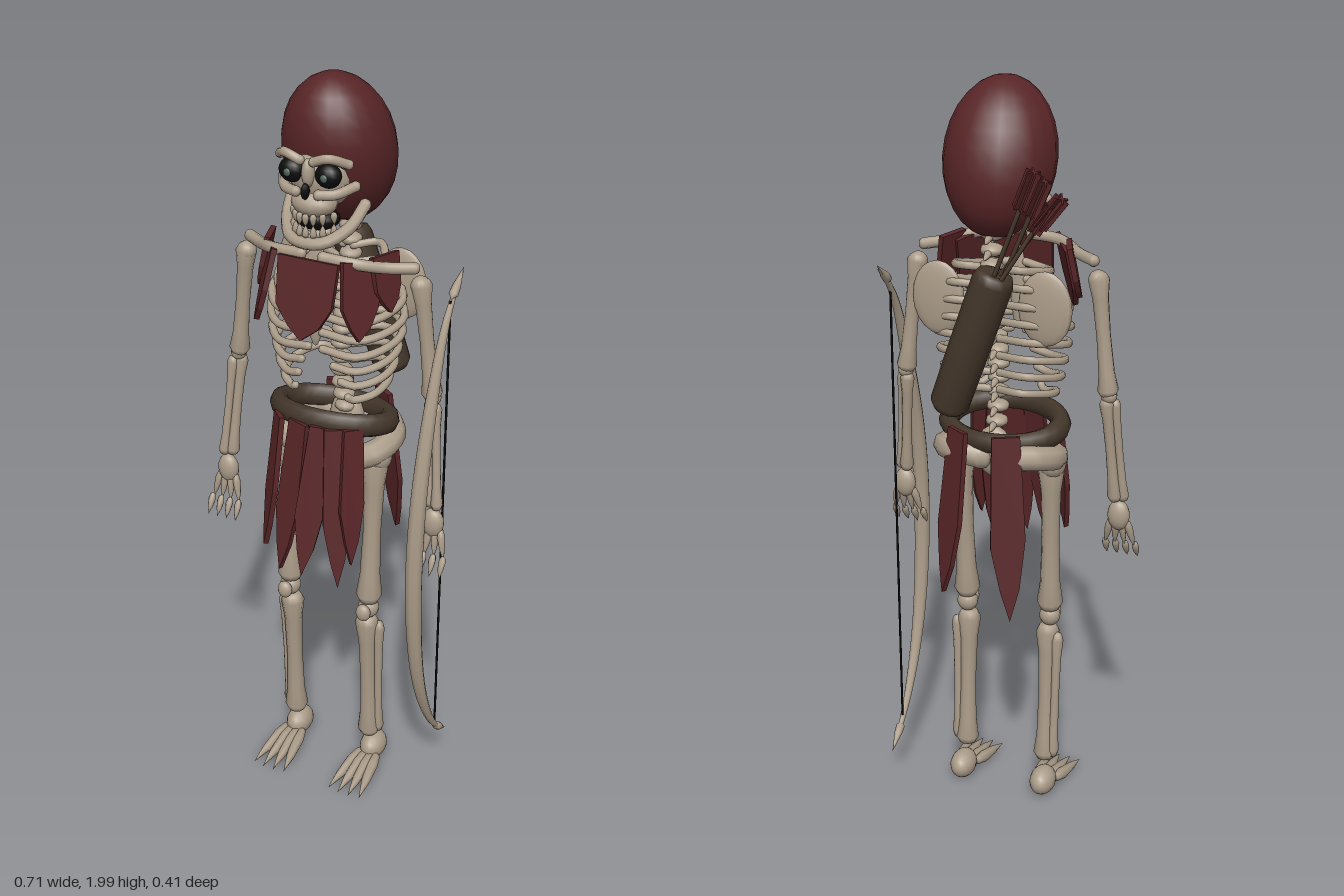
import * as THREE from 'three';

const material = (name, color, side = THREE.FrontSide) => {
  const m = new THREE.MeshStandardMaterial({ color, side });
  m.name = name;
  return m;
};
const V = (x, y, z) => new THREE.Vector3(x, y, z);
const UP = V(0, 1, 0);

export function createModel() {
  const root = new THREE.Group();
  root.name = 'skeletonArcher';
  const boneMat = material('bone', 0xab9c89);
  const cloth = material('darkRedCloth', 0x582527, THREE.DoubleSide);
  const leather = material('brownLeather', 0x43362a);
  const wood = material('arrowWood', 0x4c3d2f);
  const black = material('black', 0x0c0c0d);
  const glow = material('eyeGlow', 0x50645c);

  const add = (name, geo, mat) => {
    const m = new THREE.Mesh(geo, mat);
    m.name = name;
    root.add(m);
    return m;
  };
  const ball = (name, c, rx, ry, rz, mat = boneMat, seg = 14) => {
    const m = add(name, new THREE.SphereGeometry(1, seg, 10), mat);
    m.scale.set(rx, ry, rz);
    m.position.copy(c);
    return m;
  };
  // Lathed limb from a to b; profile holds [fraction along, radius] pairs
  const spindle = (name, a, b, profile, mat = boneMat, seg = 10) => {
    const len = a.distanceTo(b);
    const pts = profile.map(([t, r]) => new THREE.Vector2(r, t * len));
    const m = add(name, new THREE.LatheGeometry(pts, seg), mat);
    m.position.copy(a);
    m.quaternion.setFromUnitVectors(UP, b.clone().sub(a).normalize());
    return m;
  };
  const longBone = (name, a, b, r) => spindle(name, a, b,
    [[0, 0], [0.015, r * 0.75], [0.06, r * 1.05], [0.2, r * 0.8], [0.5, r * 0.7], [0.8, r * 0.8], [0.94, r * 1.05], [0.985, r * 0.75], [1, 0]]);
  const claw = (name, a, b, r) => spindle(name, a, b, [[0, 0], [0.08, r * 0.7], [0.3, r], [0.65, r * 0.7], [1, 0]], boneMat, 7);
  const tube = (name, pts, r, mat = boneMat, seg = 20) => {
    const m = add(name, new THREE.TubeGeometry(new THREE.CatmullRomCurve3(pts), seg, r, 8), mat);
    [pts[0], pts[pts.length - 1]].forEach(p => ball(name + 'End', p, r, r, r, mat, 8));
    return m;
  };
  // Pointed cloth strip hanging from top to tip, facing outwards
  const strip = (name, top, tip, w, out, topScale = 0.8) => {
    const len = top.distanceTo(tip);
    const s = new THREE.Shape();
    s.moveTo(-w * topScale / 2, 0);
    s.lineTo(-w / 2, -len * 0.6);
    s.lineTo(-w * 0.25, -len * 0.84);
    s.lineTo(0, -len);
    s.lineTo(w * 0.3, -len * 0.82);
    s.lineTo(w / 2, -len * 0.55);
    s.lineTo(w * topScale / 2, 0);
    const g = new THREE.ExtrudeGeometry(s, { depth: 0.014, bevelEnabled: false });
    g.translate(0, 0, -0.007);
    const y = top.clone().sub(tip).normalize();
    const x = y.clone().cross(out).normalize();
    const m = add(name, g, cloth);
    m.quaternion.setFromRotationMatrix(new THREE.Matrix4().makeBasis(x, y, x.clone().cross(y)));
    m.position.copy(top);
  };

  // Hood, leaning back towards the nape
  const hood = new THREE.SphereGeometry(1, 20, 14);
  hood.scale(0.14, 0.19, 0.14);
  const hp = hood.attributes.position;
  for (let i = 0; i < hp.count; i++) hp.setZ(i, hp.getZ(i) + hp.getY(i) * 0.18);
  hood.computeVertexNormals();
  add('hood', hood, cloth).position.set(0, 1.81, -0.025);

  // Face
  ball('skull', V(0, 1.775, 0.055), 0.085, 0.085, 0.083);
  ball('upperJaw', V(0, 1.715, 0.105), 0.058, 0.035, 0.048);
  ball('nose', V(0, 1.755, 0.15), 0.01, 0.02, 0.014, black, 8);
  ball('noseBridge', V(0, 1.795, 0.135), 0.016, 0.035, 0.018);
  tube('jaw', [V(-0.098, 1.7, 0.035), V(-0.085, 1.66, 0.085), V(-0.045, 1.632, 0.14), V(0, 1.627, 0.152),
    V(0.045, 1.632, 0.14), V(0.085, 1.66, 0.085), V(0.098, 1.7, 0.035)], 0.015);
  ball('mouth', V(0, 1.675, 0.095), 0.06, 0.03, 0.045, black);
  for (let i = -3; i <= 3; i++) {
    const z = 0.15 - i * i * 0.0045;
    claw('upperTooth', V(i * 0.018, 1.7, z), V(i * 0.018, 1.668, z), 0.009);
    claw('lowerTooth', V(i * 0.018, 1.64, z), V(i * 0.018, 1.673, z), 0.009);
  }

  // Neck, spine and breastbone
  for (let i = 0; i < 15; i++) {
    const y = 1.1 + i * 0.038;
    const z = -0.06 + 0.025 * Math.sin(i * 0.4);
    ball('vertebra', V(0, y, z), 0.03, 0.017, 0.028, boneMat, 10);
    claw('vertebraSpur', V(0, y, z - 0.015), V(0, y - 0.015, z - 0.055), 0.01);
  }
  ball('breastbone', V(0, 1.45, 0.105), 0.022, 0.11, 0.014);
  ball('sacrum', V(0, 1.06, -0.07), 0.05, 0.07, 0.03);

  const ribWidths = [0.12, 0.155, 0.175, 0.18, 0.175, 0.165, 0.155, 0.14];
  for (const s of [-1, 1]) {
    // Eye sockets, brow and cheek
    ball('eyeSocket', V(s * 0.048, 1.793, 0.125), 0.033, 0.03, 0.026, black);
    ball('eyeGlow', V(s * 0.048, 1.793, 0.148), 0.01, 0.01, 0.006, glow, 8);
    tube('brow', [V(s * 0.018, 1.826, 0.142), V(s * 0.055, 1.838, 0.14), V(s * 0.09, 1.82, 0.105)], 0.012);
    tube('cheekbone', [V(s * 0.03, 1.748, 0.142), V(s * 0.065, 1.75, 0.128), V(s * 0.095, 1.76, 0.08)], 0.013);

    // Ribs
    ribWidths.forEach((w, i) => {
      const y = 1.545 - i * 0.045;
      const end = i < 5 ? 0.02 : 0.03 + (i - 4) * 0.015;
      const f = 0.105 - Math.max(0, i - 4) * 0.01;
      tube('rib', [V(s * 0.015, y, -0.07), V(s * w * 0.6, y + 0.008, -0.1), V(s * w * 0.97, y - 0.008, -0.035),
        V(s * w * 0.92, y - 0.025, 0.035), V(s * w * 0.6, y - 0.038, f * 0.9), V(s * end, y - 0.03, f)], 0.0105);
    });

    // Shoulder
    tube('collarbone', [V(s * 0.03, 1.585, 0.12), V(s * 0.11, 1.58, 0.11), V(s * 0.17, 1.565, 0.065), V(s * 0.225, 1.56, 0.025)], 0.015);
    ball('shoulderBlade', V(s * 0.14, 1.46, -0.088), 0.07, 0.095, 0.016);

    // Arm
    ball('shoulderJoint', V(s * 0.24, 1.515, 0.018), 0.025, 0.025, 0.025);
    longBone('upperArm', V(s * 0.24, 1.535, 0.018), V(s * 0.277, 1.215, 0.01), 0.026);
    ball('elbow', V(s * 0.278, 1.22, 0.01), 0.021, 0.021, 0.021);
    longBone('ulna', V(s * 0.272, 1.215, 0.005), V(s * 0.294, 0.92, 0.035), 0.018);
    longBone('radius', V(s * 0.29, 1.21, 0.018), V(s * 0.314, 0.92, 0.045), 0.015);
    ball('palm', V(s * 0.303, 0.88, 0.042), 0.03, 0.042, 0.022);
    for (let i = 0; i < 4; i++) {
      const o = (i - 1.5) * 0.02;
      const mid = V(s * (0.303 + o * 1.35), 0.8, 0.06);
      claw('fingerBase', V(s * (0.303 + o * 0.7), 0.87, 0.042), mid.clone().add(V(0, -0.015, 0)), 0.011);
      claw('fingerTip', mid, V(s * (0.303 + o * 1.4), 0.745, 0.088), 0.01);
    }

    // Hip
    tube('hipBone', [V(s * 0.03, 1.05, -0.09), V(s * 0.1, 1.065, -0.1), V(s * 0.145, 1.05, -0.04),
      V(s * 0.125, 1.03, 0.03), V(s * 0.035, 1.0, 0.05)], 0.034);
    ball('hipJoint', V(s * 0.13, 1.015, 0.01), 0.037, 0.042, 0.037);

    // Leg
    longBone('thigh', V(s * 0.125, 1.02, 0.015), V(s * 0.12, 0.57, 0.035), 0.034);
    ball('knee', V(s * 0.12, 0.555, 0.035), 0.029, 0.03, 0.028);
    ball('kneecap', V(s * 0.12, 0.555, 0.068), 0.021, 0.025, 0.016);
    longBone('shin', V(s * 0.115, 0.53, 0.035), V(s * 0.117, 0.105, 0.015), 0.031);
    longBone('calfBone', V(s * 0.146, 0.51, 0.025), V(s * 0.141, 0.12, 0.01), 0.016);

    // Foot
    ball('heel', V(s * 0.12, 0.05, -0.008), 0.036, 0.04, 0.05);
    for (let i = 0; i < 4; i++) {
      const o = (i - 1.5) * 0.032;
      claw('toe', V(s * (0.12 + o * 0.5), 0.042, 0.015), V(s * (0.12 + o), 0.01, 0.19 - Math.abs(i - 1.5) * 0.006), 0.017);
    }
  }

  // Belt, tilted up at the front
  const belt = add('belt', new THREE.TorusGeometry(1, 0.18, 8, 28), leather);
  belt.rotation.x = Math.PI / 2 - 0.2;
  belt.scale.set(0.15, 0.108, 0.17);
  belt.position.set(0, 1.115, 0.005);

  // Skirt strips: [top x, top z, tip x, tip y, tip z, width]
  [[-0.1, 0.115, -0.12, 0.76, 0.165, 0.07], [-0.035, 0.13, -0.062, 0.715, 0.19, 0.075],
    [0.03, 0.13, 0.005, 0.72, 0.2, 0.075], [0.065, 0.125, 0.1, 0.7, 0.18, 0.07], [0.105, 0.105, 0.13, 0.77, 0.165, 0.065],
    [0.075, -0.13, 0.1, 0.69, -0.18, 0.09], [-0.055, -0.135, -0.085, 0.64, -0.185, 0.09]]
    .forEach(([x, z, tx, ty, tz, w]) =>
      strip('skirtStrip', V(x, 1.13, z), V(tx, ty, tz), w, V(x * 1.2, 0, z)));

  // Torn collar
  strip('collarFront', V(0, 1.58, 0.135), V(0, 1.385, 0.178), 0.15, V(0, 0, 1), 1.08);
  for (const s of [-1, 1]) {
    strip('collarSide', V(s * 0.12, 1.58, 0.095), V(s * 0.14, 1.4, 0.15), 0.1, V(s * 0.85, 0, 0.55), 1.1);
    strip('collarShoulder', V(s * 0.155, 1.59, 0.045), V(s * 0.18, 1.45, 0.06), 0.08, V(s, 0, 0.35), 1.1);
  }

  // Quiver and arrows
  const low = V(0.1, 1.18, -0.145), high = V(-0.035, 1.56, -0.145);
  spindle('quiver', low, high, [[0, 0], [0.02, 0.035], [0.07, 0.05], [0.5, 0.052], [0.93, 0.052], [0.98, 0.045], [0.99, 0.03], [0.97, 0]], leather, 14);
  [[-0.2, 1.75, -0.165], [-0.165, 1.79, -0.18], [-0.14, 1.81, -0.185], [-0.17, 1.73, -0.155]].forEach(([x, y, z], i) => {
    const base = V(-0.025 - (i % 2) * 0.02, 1.53, -0.13 - i * 0.012);
    const tip = V(x, y, z);
    spindle('arrowShaft', base, tip, [[0, 0], [0, 0.006], [1, 0.006], [1, 0]], wood, 6);
    const start = base.clone().lerp(tip, 0.7);
    for (let k = 0; k < 3; k++) {
      const f = add('fletching', new THREE.BoxGeometry(0.04, start.distanceTo(tip) * 1.1, 0.005), cloth);
      f.position.copy(start).lerp(tip, 0.55);
      f.quaternion.setFromUnitVectors(UP, tip.clone().sub(base).normalize());
      f.rotateY(k * Math.PI / 3);
    }
  });

  // Bow: tapered limb swept along a curve
  const bowCurve = new THREE.CatmullRomCurve3([V(0.298, 1.52, -0.1), V(0.298, 1.44, -0.02), V(0.298, 1.23, 0.065),
    V(0.298, 0.95, 0.128), V(0.298, 0.66, 0.135), V(0.298, 0.39, 0.085), V(0.298, 0.19, -0.015), V(0.298, 0.11, -0.1)]);
  const N = 36, R = 8;
  const bow = new THREE.TubeGeometry(bowCurve, N, 1, R);
  const bp = bow.attributes.position;
  for (let i = 0; i <= N; i++) {
    const c = bowCurve.getPointAt(i / N);
    const r = 0.002 + 0.021 * Math.pow(Math.sin(Math.PI * i / N), 0.75);
    for (let j = 0; j <= R; j++) {
      const k = i * (R + 1) + j;
      const p = V(bp.getX(k), bp.getY(k), bp.getZ(k)).sub(c).multiplyScalar(r).add(c);
      bp.setXYZ(k, p.x, p.y, p.z);
    }
  }
  add('bow', bow, boneMat);
  for (const [y, ty] of [[1.47, 1.53], [0.165, 0.105]])
    spindle('bowTip', V(0.298, y, -0.035), V(0.298, ty, -0.105), [[0, 0], [0.15, 0.012], [0.4, 0.011], [1, 0]]);
  spindle('bowString', V(0.298, 0.165, -0.03), V(0.298, 1.47, -0.03), [[0, 0.003], [1, 0.003]], black, 6);

  return root;
}
